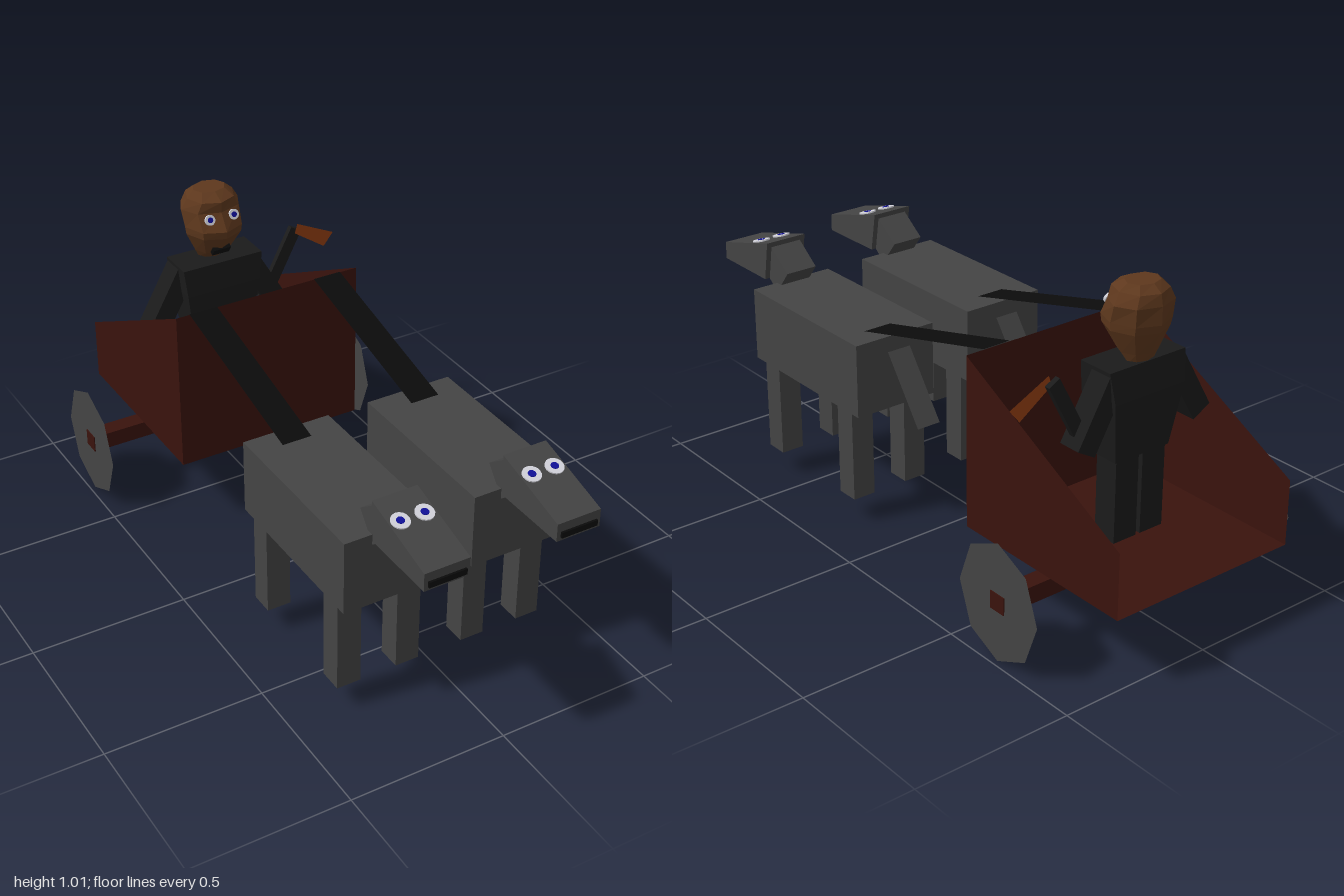
import * as THREE from 'three';

const paint = (color) => new THREE.MeshStandardMaterial({ color, flatShading: true, side: THREE.DoubleSide });
const GREY = paint(0x444444), WOOD = paint(0x3a130d), CLOTH = paint(0x1b1b1b), BLACK = paint(0x0b0b0b);
const SKIN = paint(0x5e381d), BLADE = paint(0x963f14), WHITE = paint(0xd4d4dc), BLUE = paint(0x10109a);

function add(group, name, geometry, material, x = 0, y = 0, z = 0) {
  const mesh = new THREE.Mesh(geometry, material);
  mesh.name = name;
  mesh.position.set(x, y, z);
  group.add(mesh);
  return mesh;
}

const box = (w, h, d) => new THREE.BoxGeometry(w, h, d);

const shapeOf = (pts) => new THREE.Shape(pts.map(([a, b]) => new THREE.Vector2(a, b)));

// Flat outline given as [z, y], facing sideways; a width turns it into a solid centred on x = 0
function sideProfile(pts, width = 0) {
  const shape = shapeOf(pts);
  const g = width
    ? new THREE.ExtrudeGeometry(shape, { depth: width, bevelEnabled: false }).translate(0, 0, -width / 2)
    : new THREE.ShapeGeometry(shape);
  return g.rotateY(-Math.PI / 2);
}

// Flat strip of given width running between two [z, y] points
function strip(width, [z0, y0], [z1, y1]) {
  const g = new THREE.PlaneGeometry(width, Math.hypot(z1 - z0, y1 - y0));
  g.rotateX(Math.atan2(z1 - z0, y1 - y0));
  return g.translate(0, (y0 + y1) / 2, (z0 + z1) / 2);
}

// Closed loft through rows of [y, half width, back z, front z]
function loft(n, phase, scale, rows) {
  const pos = [], index = [];
  for (const [y, hw, zb, zf] of rows) {
    for (let j = 0; j < n; j++) {
      const a = phase + (j / n) * Math.PI * 2;
      pos.push(hw * scale * Math.sin(a), y, (zb + zf) / 2 + ((zf - zb) / 2) * scale * Math.cos(a));
    }
  }
  for (let i = 0; i < rows.length - 1; i++) {
    for (let j = 0; j < n; j++) {
      const a = i * n + j, b = i * n + ((j + 1) % n);
      index.push(a, b, b + n, a, b + n, a + n);
    }
  }
  const top = (rows.length - 1) * n;
  for (let j = 1; j < n - 1; j++) index.push(0, j + 1, j, top, top + j, top + j + 1);
  const g = new THREE.BufferGeometry();
  g.setAttribute('position', new THREE.Float32BufferAttribute(pos, 3));
  g.setIndex(index);
  g.computeVertexNormals();
  return g;
}

// White disc with a smaller blue pupil, facing +z before tilting
function makeEye(radius, pupil, tilt, x, y, z) {
  const eye = new THREE.Group();
  eye.name = 'eye';
  const disc = (r, h) => new THREE.CylinderGeometry(r, r, h, 16).rotateX(Math.PI / 2);
  add(eye, 'eyeWhite', disc(radius, 0.008), WHITE);
  add(eye, 'pupil', disc(pupil, 0.011), BLUE);
  eye.rotation.x = tilt;
  eye.position.set(x, y, z);
  return eye;
}

function makeHorse() {
  const horse = new THREE.Group();
  horse.name = 'horse';
  add(horse, 'body', box(0.285, 0.238, 0.566), GREY, 0, 0.501, 0.43);
  for (const x of [-0.098, 0.098]) {
    for (const z of [0.228, 0.633]) add(horse, 'leg', box(0.077, 0.305, 0.076), GREY, x, 0.2325, z);
  }
  add(horse, 'neck', sideProfile([[0.65, 0.67], [0.715, 0.587], [0.785, 0.645], [0.738, 0.735]], 0.108), GREY);
  add(horse, 'head', sideProfile([[0.735, 0.752], [0.757, 0.623], [0.993, 0.623], [0.993, 0.68]], 0.143), GREY);
  add(horse, 'mouth', box(0.118, 0.018, 0.02), BLACK, 0, 0.643, 0.99);
  for (const x of [-0.038, 0.038]) horse.add(makeEye(0.028, 0.012, -1.29, x, 0.728, 0.823));
  add(horse, 'tail', strip(0.082, [0.148, 0.57], [0, 0.365]), GREY, -0.014);
  return horse;
}

function makeCart() {
  const cart = new THREE.Group();
  cart.name = 'cart';
  const [front, back, floor, top] = [-0.357, -1, 0.225, 0.765];
  // Open at the top and the back
  for (const x of [-0.32, 0.32]) {
    add(cart, 'sideWall', sideProfile([[front, floor], [front, top], [back, 0.43], [back, floor]]), WOOD, x);
  }
  add(cart, 'frontWall', new THREE.PlaneGeometry(0.64, top - floor), WOOD, 0, (top + floor) / 2, front);
  add(cart, 'floor', new THREE.PlaneGeometry(0.64, front - back).rotateX(-Math.PI / 2), WOOD, 0, floor, (front + back) / 2);
  cart.position.x = 0.01;
  return cart;
}

function makeWheels() {
  const wheels = new THREE.Group();
  wheels.name = 'wheelsAndAxle';
  add(wheels, 'axle', box(0.972, 0.055, 0.058), WOOD, 0, 0.188, -0.687);
  for (const x of [-0.483, 0.483]) {
    const wheel = add(wheels, 'wheel', new THREE.CircleGeometry(1, 8).rotateY(Math.PI / 2), GREY, x, 0.187, -0.687);
    wheel.scale.set(1, 0.187, 0.167);
  }
  return wheels;
}

function makeDriver() {
  const driver = new THREE.Group();
  driver.name = 'driver';
  // Body
  add(driver, 'torso', loft(4, Math.PI / 4, Math.SQRT2, [
    [0.485, 0.1, -0.7, -0.61], [0.68, 0.13, -0.725, -0.585], [0.775, 0.14, -0.71, -0.59],
  ]), CLOTH);
  for (const s of [-1, 1]) {
    add(driver, 'leg', box(0.085, 0.27, 0.08), CLOTH, s * 0.05, 0.36, -0.655);
    const arm = add(driver, 'arm', box(0.07, 0.22, 0.075), CLOTH, s * 0.163, 0.65, -0.672);
    arm.rotation.z = s * 0.52;
  }

  // Head with a pointed muzzle and narrow chin
  add(driver, 'head', loft(8, 0, 1, [
    [0.768, 0.043, -0.705, -0.645], [0.8, 0.06, -0.72, -0.61], [0.87, 0.094, -0.75, -0.56],
    [0.895, 0.097, -0.757, -0.555], [0.95, 0.101, -0.757, -0.59], [0.985, 0.08, -0.75, -0.588],
    [1.006, 0.055, -0.72, -0.63],
  ]), SKIN);
  for (const x of [-0.042, 0.042]) driver.add(makeEye(0.017, 0.009, -0.4, x, 0.934, -0.589));
  const mouth = add(driver, 'mouth', box(0.06, 0.028, 0.03), BLACK, 0, 0.818, -0.61);
  mouth.rotation.x = 0.6;

  // Raised hatchet in the left hand
  const hatchet = new THREE.Group();
  hatchet.name = 'hatchet';
  const handle = add(hatchet, 'handle', box(0.042, 0.26, 0.018), CLOTH, 0.245, 0.668, -0.665);
  handle.rotation.z = -0.49;
  const edge = [[0.31, 0.8], [0.3, 0.768], [0.41, 0.692], [0.445, 0.735]];
  add(hatchet, 'blade', new THREE.ShapeGeometry(shapeOf(edge)), BLADE, 0, 0, -0.655);
  driver.add(hatchet);

  driver.position.x = -0.025;
  return driver;
}

export function createModel() {
  const model = new THREE.Group();
  model.name = 'horseCart';
  model.add(makeCart(), makeWheels(), makeDriver());
  for (const x of [-0.212, 0.209]) {
    const horse = makeHorse();
    horse.position.x = x;
    model.add(horse);
    // Rein from the cart's front edge to the horse's back
    add(model, 'rein', strip(0.095, [-0.357, 0.767], [0.22, 0.622]), BLACK, x + (x < 0 ? -0.005 : 0.013));
  }
  return model;
}
